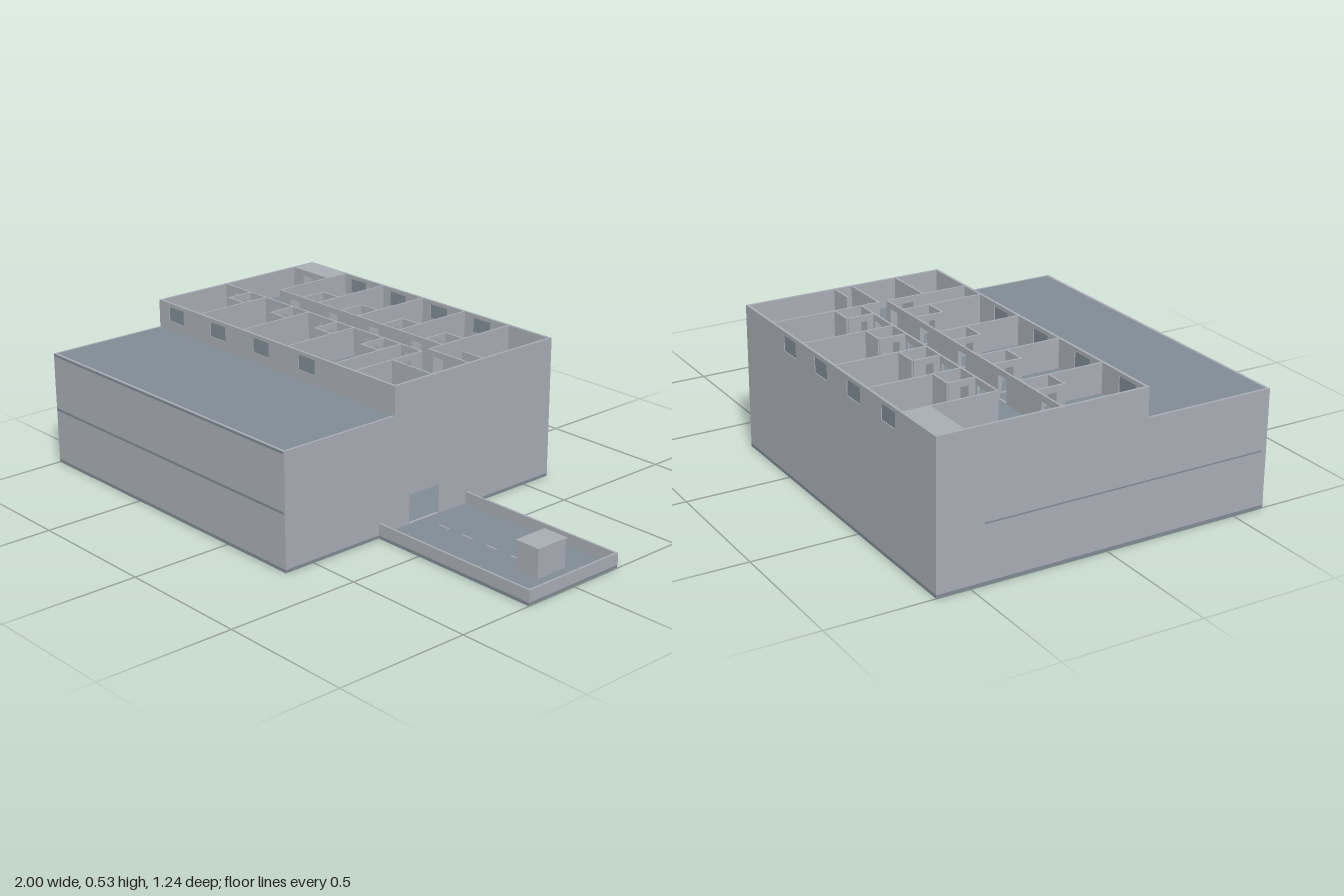
import * as THREE from 'three';

const mat = (name, color) => {
  const m = new THREE.MeshStandardMaterial({ color });
  m.name = name;
  return m;
};

export function createModel() {
  const wallMat = mat('wall grey', 0xa8acb3);
  const floorMat = mat('floor slate', 0x808b94);
  const stairMat = mat('stair tan', 0xa69072);
  const root = new THREE.Group();
  root.name = 'building';

  // Box given by its extents
  function box(name, m, x0, x1, y0, y1, z0, z1) {
    const mesh = new THREE.Mesh(new THREE.BoxGeometry(x1 - x0, y1 - y0, z1 - z0), m);
    mesh.position.set((x0 + x1) / 2, (y0 + y1) / 2, (z0 + z1) / 2);
    mesh.name = name;
    root.add(mesh);
    return mesh;
  }

  // Upright wall from an outline [u, y], with rectangular openings [u0, u1, y0, y1]
  function wall(name, axis, outline, at, thick, holes = []) {
    const shape = new THREE.Shape(outline.map(p => new THREE.Vector2(...p)));
    for (const [a, b, c, d] of holes) {
      shape.holes.push(new THREE.Path([[a, c], [a, d], [b, d], [b, c]].map(p => new THREE.Vector2(...p))));
    }
    const g = new THREE.ExtrudeGeometry(shape, { depth: thick, bevelEnabled: false });
    g.translate(0, 0, -thick / 2);
    if (axis === 'z') g.rotateY(-Math.PI / 2);
    const mesh = new THREE.Mesh(g, wallMat);
    mesh.position[axis === 'z' ? 'x' : 'z'] = at;
    mesh.name = name;
    root.add(mesh);
  }
  const rect = (a, b, c, d) => [[a, c], [b, c], [b, d], [a, d]];

  const L = -1, R = 0.305, B = -0.62, F = 0.62, MID = 0.14;
  const LOW = 0.425, TOP = 0.53, T = 0.01, BASE = 0.012;

  // Base slab
  box('baseSlab', floorMat, L, R, 0, BASE, B, F);

  // Storey slabs, leaving the stairwell open
  for (const y of [0.215, LOW]) {
    const e = 0.009;
    box('storeySlab', floorMat, L + e, 0.1, y - 0.01, y, B + e, F - e);
    box('storeySlab', floorMat, 0.1, R - e, y - 0.01, y, -0.28, F - e);
    box('frontSlabEdge', floorMat, L + 0.004, R - 0.006, y - 0.01, y - 0.001, F - 0.005, F + 0.001);
  }
  box('sideSlabEdge', floorMat, L - 0.001, L + 0.005, 0.207, 0.212, -0.45, F - 0.02);

  // Outer walls
  const win = xs => xs.map(x => [x - 0.044, x + 0.044, 0.46, 0.516]);
  const frontWin = [-0.895, -0.645, -0.397, -0.147];
  const backWin = [-0.71, -0.485, -0.26, -0.035];
  wall('lowerFrontWall', 'x', rect(L, R, BASE, LOW), F - T / 2, T);
  wall('upperFrontWall', 'x', rect(L, R, LOW, TOP), MID - T / 2, T, win(frontWin));
  wall('backWall', 'x', rect(L, R, BASE, TOP), B + T / 2, T, win(backWin));
  const side = [[B, BASE], [F, BASE], [F, LOW], [MID, LOW], [MID, TOP], [B, TOP]];
  wall('leftEndWall', 'z', side, L + T / 2, T);
  wall('gateWall', 'z', side, R - T / 2, T, [[-0.07, 0.07, 0.014, 0.12]]);

  // Window panes
  for (const [xs, z] of [[frontWin, MID - T / 2], [backWin, B + T / 2]]) {
    for (const x of xs) box('windowPane', floorMat, x - 0.044, x + 0.044, 0.46, 0.516, z - 0.002, z + 0.002);
  }

  // Upper-floor partitions with doorways
  const t = 0.008, DOOR = LOW + 0.002, HEAD = 0.508;
  const across = (x0, x1, z, doors = []) =>
    wall('partition', 'x', rect(x0, x1, LOW, TOP), z, t, doors.map(d => [d - 0.025, d + 0.025, DOOR, HEAD]));
  const along = (z0, z1, x, doors = []) =>
    wall('partition', 'z', rect(z0, z1, LOW, TOP), x, t, doors.map(d => [d - 0.022, d + 0.022, DOOR, HEAD]));

  // Corridor walls
  across(-0.79, 0.1, -0.28, [-0.7, -0.48, -0.255, -0.03]);
  across(L + T, 0.1, -0.178, [-0.91, -0.66, -0.41, -0.16, 0.047]);

  // Back rooms, each with a small washroom in the corner
  along(B + T, -0.28, -0.79);
  for (const x of [-0.57, -0.35, -0.125, 0.1]) {
    along(B + T, -0.28, x);
    along(-0.38, -0.28, x - 0.09, [-0.33]);
    across(x - 0.09, x, -0.382);
  }
  // Front rooms, each with a small washroom in the corner
  for (const x of [-0.755, -0.505, -0.255, -0.005]) {
    along(-0.178, MID - T, x);
    along(-0.178, -0.07, x - 0.09, [-0.125]);
    across(x - 0.09, x, -0.072);
  }
  along(-0.178, MID - T, 0.1, [-0.1]);
  along(-0.28, -0.212, 0.1);
  across(0.1, R - T, -0.212, [0.15]);
  across(0.1, R - T, -0.037);
  across(0.2, R - T, -0.28);

  // Covered corner shaft
  across(L + T, -0.79, -0.522, [-0.91]);
  box('shaftRoof', wallMat, L + T, -0.79, TOP - 0.008, TOP, B + T, -0.522);

  // Stairwell: paired flights joined by landings
  const z0 = -0.55, z1 = -0.28, N = 8;
  for (const top of [LOW, 0.215]) {
    const half = (top === LOW ? 0.21 : 0.203) / 2;
    box('stairLanding', stairMat, 0.105, R - T, top - half - 0.012, top - half, B + T, z0);
    for (let i = 0; i < N; i++) {
      const a = z0 + (z1 - z0) * i / N, b = z0 + (z1 - z0) * (i + 1) / N;
      const rise = half * (i + 1) / N;
      box('stairTread', stairMat, 0.105, 0.2, top - half + rise - 0.02, top - half + rise - 0.002, a, b);
      box('stairTread', stairMat, 0.2, R - T, top - half - rise, top - half - rise + 0.015, a, b);
    }
  }
  box('stairDivider', wallMat, 0.196, 0.204, BASE, LOW + 0.03, z0, -0.3);

  // Entrance road with low kerb walls
  const E = 0.997, W = 0.21;
  box('roadSlab', floorMat, R, E, 0, BASE, -W, W);
  for (const s of [-1, 1]) {
    const z = s * (W - 0.004);
    box('roadKerb', wallMat, R, E, BASE, 0.055, z - 0.004, z + 0.004);
  }
  box('roadEndKerb', wallMat, E - 0.005, 1, 0.012, 0.055, -W, W);
  for (let x = 0.38; x < 0.98; x += 0.113) {
    box('roadDash', wallMat, x, x + 0.05, BASE, BASE + 0.002, -0.003, 0.003);
  }

  // Gatehouse
  box('gatehouse', wallMat, 0.805, 0.9, BASE, 0.114, -0.065, 0.065);
  box('gatehouseRoof', wallMat, 0.802, 0.903, 0.114, 0.12, -0.068, 0.068);

  return root;
}
